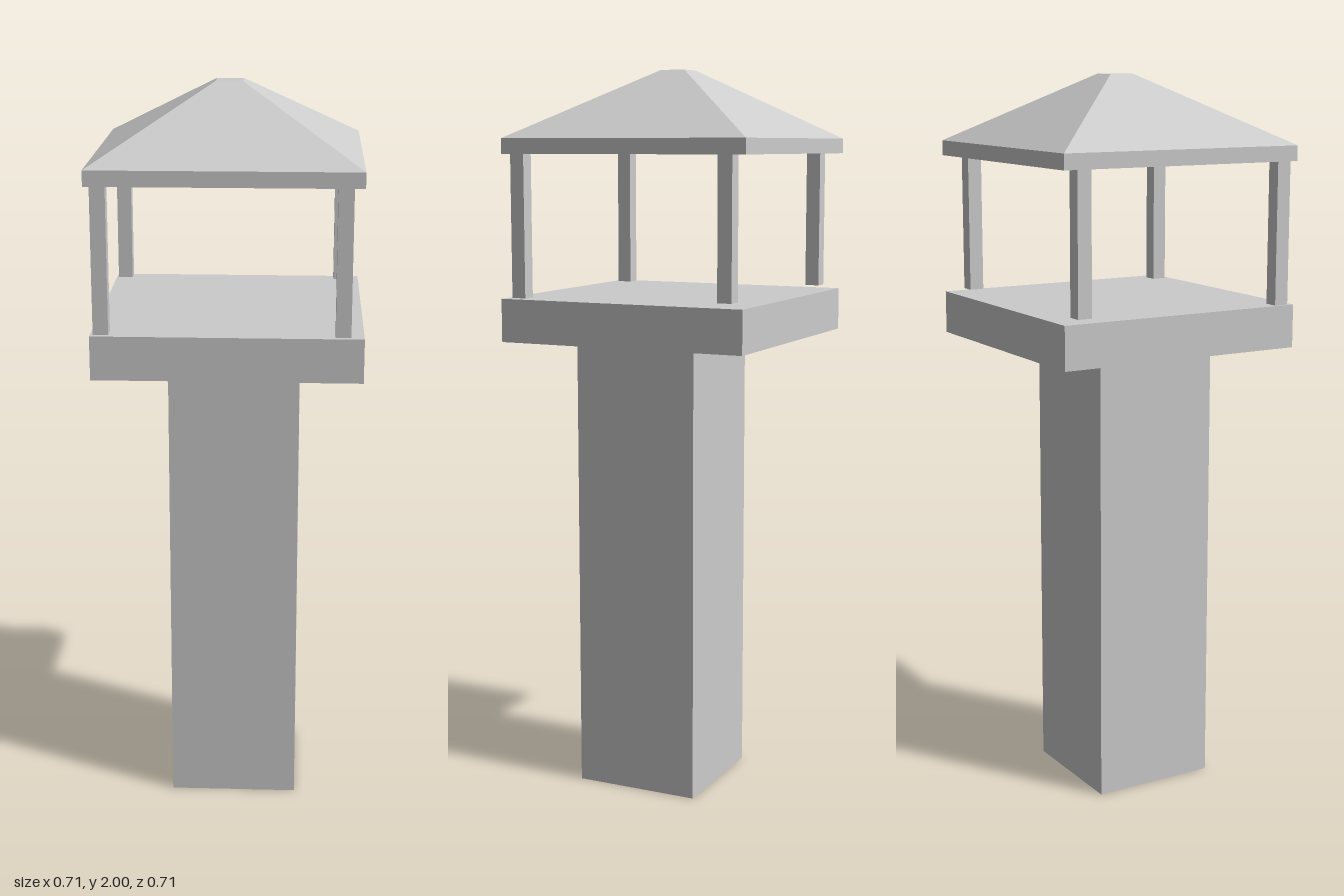
import * as THREE from 'three';

const material = new THREE.MeshStandardMaterial({ color: 0xcccccc, flatShading: true });

// Box given by its [min, max] range on each axis
function block(name, [x0, x1], [y0, y1], [z0, z1]) {
  const mesh = new THREE.Mesh(new THREE.BoxGeometry(x1 - x0, y1 - y0, z1 - z0), material);
  mesh.position.set((x0 + x1) / 2, (y0 + y1) / 2, (z0 + z1) / 2);
  mesh.name = name;
  return mesh;
}

export function createModel() {
  const model = new THREE.Group();
  model.name = 'watchtower';

  // Square shaft, set slightly off centre, and the platform on it
  model.add(block('shaft', [-0.16, 0.19], [0, 1.275], [-0.138, 0.214]));
  model.add(block('platform', [-0.35, 0.355], [1.275, 1.392], [-0.35, 0.354]));

  // Corner posts; the back pair starts just above the platform
  const posts = new THREE.Group();
  posts.name = 'posts';
  for (const [side, x] of [['Right', -0.342], ['Left', 0.281]]) {
    posts.add(block('front' + side + 'Post', [x, x + 0.04], [1.392, 1.778], [0.3, 0.34]));
    posts.add(block('back' + side + 'Post', [x + 0.002, x + 0.042], [1.402, 1.778], [-0.306, -0.266]));
  }
  model.add(posts);

  // Roof: flat eaves slab with a truncated pyramid above
  const roof = new THREE.Group();
  roof.name = 'roof';
  roof.add(block('eaves', [-0.357, 0.348], [1.776, 1.817], [-0.353, 0.351]));
  const pyramid = new THREE.BoxGeometry(0.705, 0.183, 0.704);
  const p = pyramid.attributes.position;
  for (let i = 0; i < p.count; i++) {
    if (p.getY(i) > 0) {
      p.setX(i, Math.sign(p.getX(i)) * 0.036);
      p.setZ(i, Math.sign(p.getZ(i)) * 0.035);
    }
  }
  pyramid.computeVertexNormals();
  const slopes = new THREE.Mesh(pyramid, material);
  slopes.name = 'roofSlopes';
  slopes.position.set(-0.0045, 1.9085, -0.001);
  roof.add(slopes);
  model.add(roof);

  return model;
}
